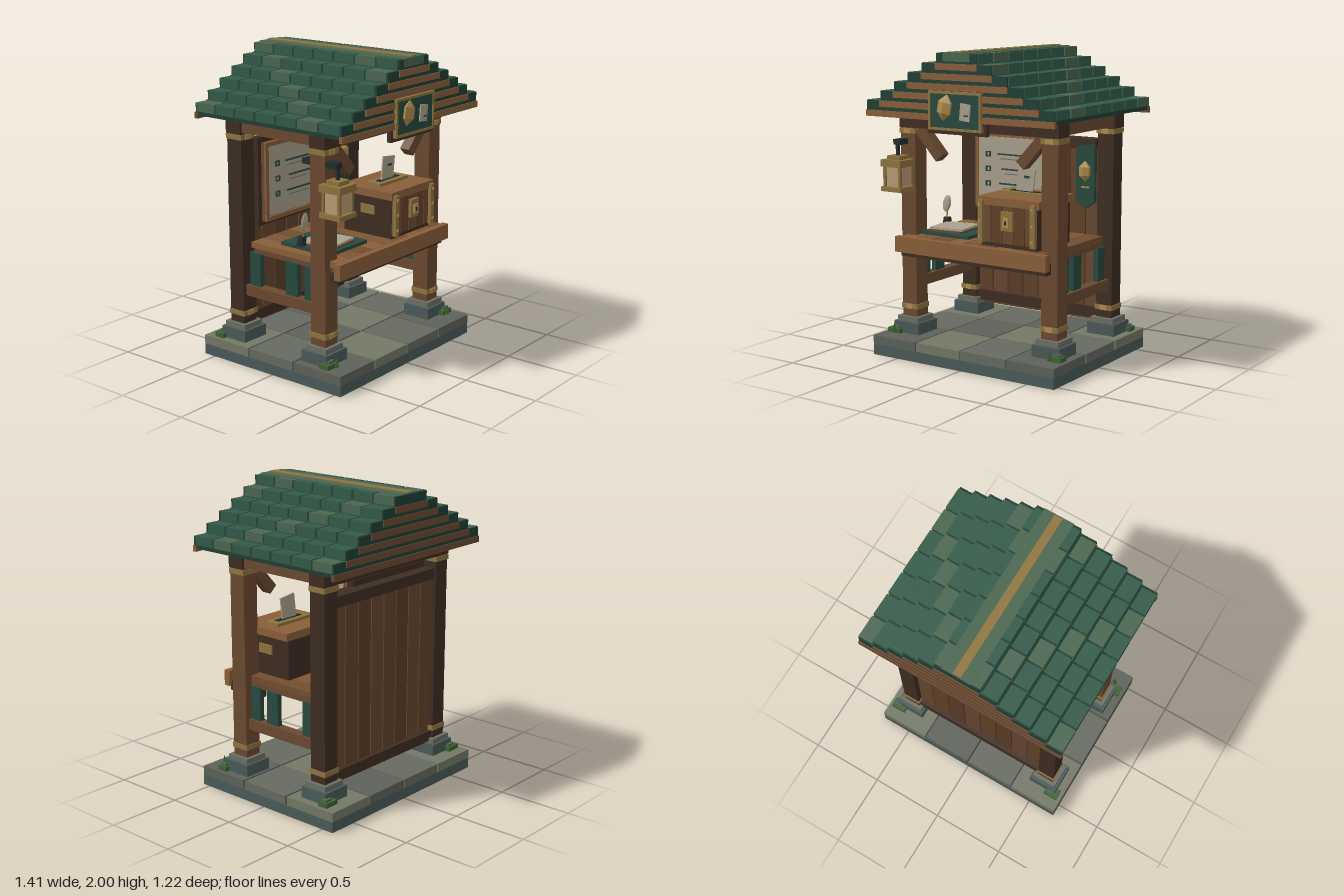
import * as THREE from 'three';

const C = {
  light: 0x8a5f3a, mid: 0x6a4930, plank: 0x604228, dark: 0x3f2d22, tile: 0x335a48, pale: 0x4a6650,
  deep: 0x1f3f35, teal: 0x28493f, stone: 0x6b6f64, slate: 0x4a5a58, brass: 0x8f7440, gold: 0xb08c4e,
  paper: 0xaaa08c, iron: 0x1f2c2e, glass: 0xb89b75, moss: 0x3f6232,
};
const mats = {};
const mat = (c) => (mats[c] ??= new THREE.MeshStandardMaterial({ color: c, flatShading: true }));

function add(parent, name, geo, color, x = 0, y = 0, z = 0) {
  const m = new THREE.Mesh(geo, mat(color));
  m.name = name;
  m.position.set(x, y, z);
  parent.add(m);
  return m;
}
// Box given by its extents on each axis
function box(parent, name, color, x0, x1, y0, y1, z0, z1) {
  const geo = new THREE.BoxGeometry(Math.abs(x1 - x0), Math.abs(y1 - y0), Math.abs(z1 - z0));
  return add(parent, name, geo, color, (x0 + x1) / 2, (y0 + y1) / 2, (z0 + z1) / 2);
}
function group(parent, name) {
  const g = new THREE.Group();
  g.name = name;
  parent.add(g);
  return g;
}
// Closed outline from a short list of points
const outline = (pts) => new THREE.Shape(pts.map((p) => new THREE.Vector2(...p)));
// Faceted shard: six-sided double cone flattened in z
function crystal(parent, x, y, z, w, h, depth, tilt) {
  const r = [[0, -h / 2], [w / 2, -h * 0.2], [w / 2, h * 0.2], [0, h / 2]].map((p) => new THREE.Vector2(...p));
  const m = add(parent, 'crystal', new THREE.LatheGeometry(r, 6), C.gold, x, y, z);
  m.scale.z = depth / w;
  m.rotation.z = tilt;
}
// Rectangular frame made of four bars
function frame(parent, name, color, x0, x1, y0, y1, z0, z1, t) {
  box(parent, name, color, x0, x1, y0, y0 + t, z0, z1);
  box(parent, name, color, x0, x1, y1 - t, y1, z0, z1);
  box(parent, name, color, x0, x0 + t, y0 + t, y1 - t, z0, z1);
  box(parent, name, color, x1 - t, x1, y0 + t, y1 - t, z0, z1);
}

function buildBase(root) {
  const g = group(root, 'stoneBase');
  box(g, 'slab', C.slate, -0.695, 0.695, 0, 0.07, -0.585, 0.55);
  const zs = [[0.18, 0.55], [-0.19, 0.165], [-0.585, -0.205]];
  for (let i = 0; i < 4; i++) zs.forEach(([a, b], j) => {
    const x = -0.695 + i * 0.35;
    box(g, 'pavingStone', [0x5d625a, 0x666a60, 0x747866][(i * 2 + j) % 3], x, x + 0.34, 0.07, 0.13, a, b);
  });
}

function buildPosts(root) {
  for (const sx of [-1, 1]) for (const z of [0.298, -0.378]) {
    const g = group(root, 'post');
    const x = sx * 0.54;
    const block = (n, c, r, y0, y1) => box(g, n, c, x - r, x + r, y0, y1, z - r, z + r);
    block('footing', C.slate, 0.1, 0.13, 0.205);
    block('footingCap', C.stone, 0.083, 0.205, 0.24);
    block('shaft', z > 0 ? C.mid : C.dark, 0.058, 0.24, 1.5);
    for (const y of [0.29, 1.453]) {
      block('brassBand', C.brass, 0.064, y, y + 0.033);
      box(g, 'bandPlate', C.gold, x - 0.027, x + 0.027, y, y + 0.03, z + 0.06, z + 0.07);
    }
    // Moss at the foot of each post
    const sz = Math.sign(z);
    const mx = sx * 0.62, mz = z + sz * 0.1;
    box(g, 'moss', C.moss, mx - 0.05, mx + 0.05, 0.13, 0.16, mz - 0.035, mz + 0.035);
    box(g, 'moss', C.pale, mx - 0.015, mx + 0.035, 0.16, 0.175, mz - 0.02, mz + 0.02);
    if (sz > 0) add(g, 'sprout', new THREE.ConeGeometry(0.018, 0.07, 4), C.moss, mx - sx * 0.02, 0.175, mz + 0.05);
  }
  // Top beams and hanging braces
  const b = group(root, 'topBeams');
  box(b, 'frontBeam', C.dark, -0.605, 0.605, 1.49, 1.575, 0.24, 0.36);
  box(b, 'backBeam', C.dark, -0.605, 0.605, 1.49, 1.575, -0.44, -0.32);
  for (const s of [-1, 1]) {
    box(b, 'sideBeam', C.mid, s * 0.49, s * 0.59, 1.5, 1.575, -0.32, 0.24);
    const br = add(b, 'brace', new THREE.BoxGeometry(0.07, 0.26, 0.07), C.mid, s * 0.395, 1.4, 0.3);
    br.rotation.z = -s * 0.74;
  }
}

function buildWall(root) {
  const g = group(root, 'backWall');
  for (let i = 0; i < 8; i++) {
    const x = (i - 3.5) * 0.123;
    box(g, 'wallPlank', [C.plank, 0x664630, 0x5a3d28][i % 3], x - 0.057, x + 0.057, 0.2, 1.39, -0.4, -0.365);
  }
  for (const y of [0.22, 1.34]) box(g, 'wallRail', C.dark, -0.49, 0.49, y, y + 0.07, -0.425, -0.34);

  // Notice board with checklist
  const n = group(root, 'noticeBoard');
  box(n, 'backing', C.dark, -0.47, 0.235, 0.87, 1.45, -0.345, -0.295);
  box(n, 'panel', C.mid, -0.44, 0.2, 0.9, 1.415, -0.295, -0.27);
  frame(n, 'boardFrame', C.light, -0.44, 0.2, 0.9, 1.415, -0.27, -0.255, 0.028);
  box(n, 'sheet', C.paper, -0.415, 0.157, 0.935, 1.385, -0.27, -0.258);
  [[-0.255, 0.055], [-0.22, 0.025], [-0.24, 0.035]].forEach(([a, b], i) => {
    const y = 1.267 - i * 0.1;
    frame(n, 'checkBox', C.teal, -0.35, -0.313, y - 0.018, y + 0.018, -0.26, -0.248, 0.007);
    box(n, 'ruledLine', C.teal, a, b, y - 0.001, y + 0.009, -0.26, -0.25);
    box(n, 'ruledLine', C.stone, a + 0.02, b - 0.06, y - 0.03, y - 0.024, -0.26, -0.254);
  });
  box(n, 'pin', C.brass, 0.12, 0.145, 1.35, 1.375, -0.26, -0.245);

  // Hanging banner
  const h = group(root, 'banner');
  const cloth = outline([[0.33, 1.36], [0.33, 1.0], [0.4, 0.95], [0.468, 1.0], [0.468, 1.38]]);
  add(h, 'cloth', new THREE.ExtrudeGeometry(cloth, { depth: 0.03, bevelEnabled: false }), C.teal, 0, 0, -0.335);
  box(h, 'bannerRod', C.dark, 0.24, 0.47, 1.35, 1.41, -0.345, -0.31);
  crystal(h, 0.4, 1.2, -0.3, 0.085, 0.14, 0.06, 0);
  box(h, 'bannerMark', C.gold, 0.37, 0.43, 1.09, 1.1, -0.31, -0.3);
}

function buildCounter(root) {
  const g = group(root, 'counter');
  for (let i = 0; i < 9; i++) {
    const x = -0.55 + i * 0.1222;
    box(g, 'topPlank', [C.light, 0x7d5534, 0x734d30][i % 3], x, x + 0.116, 0.75, 0.788, -0.29, 0.41);
  }
  box(g, 'underframe', C.mid, -0.545, 0.545, 0.715, 0.75, -0.27, 0.41);
  box(g, 'frontBoard', C.light, -0.58, 0.575, 0.685, 0.787, 0.41, 0.455);
  box(g, 'apron', C.dark, -0.555, 0.555, 0.655, 0.72, 0.36, 0.42);
  for (const s of [-1, 1]) {
    box(g, 'sideApron', C.dark, s * 0.5, s * 0.55, 0.655, 0.72, 0.155, 0.36);
    box(g, 'sideRail', C.mid, s * 0.505, s * 0.575, 0.43, 0.5, -0.32, 0.24);
    for (const [a, b] of [[0.155, 0.235], [0, 0.095], [-0.3, -0.212]])
      box(g, 'sideSlat', C.teal, s * 0.52, s * 0.555, 0.5, 0.72, a, b);
  }

  // Writing mat, papers and quill
  const w = group(root, 'writingSet');
  box(w, 'mat', C.teal, -0.48, -0.11, 0.788, 0.81, -0.1, 0.3);
  for (let i = 0; i < 2; i++) {
    const p = box(w, 'paperSheet', i ? C.paper : C.mid, -0.44, -0.2, 0.81 + i * 0.014, 0.824 + i * 0.014, 0.03, 0.27);
    p.rotation.y = 0.06 + i * 0.06;
  }
  add(w, 'inkwell', new THREE.CylinderGeometry(0.025, 0.035, 0.06, 8), C.iron, -0.455, 0.835, 0.05);
  add(w, 'quillStem', new THREE.CylinderGeometry(0.005, 0.005, 0.1, 5), C.brass, -0.45, 0.89, 0.06).rotation.z = -0.12;
  const f = add(w, 'quillFeather', new THREE.SphereGeometry(0.06, 8, 6), C.paper, -0.447, 0.96, 0.065);
  f.scale.set(0.55, 1, 0.2);
  f.rotation.z = -0.25;
}

function buildChest(root) {
  const g = group(root, 'chest');
  box(g, 'chestBody', C.dark, 0.048, 0.462, 0.788, 1.05, -0.01, 0.375);
  for (let i = 0; i < 5; i++) {
    const x = 0.05 + i * 0.083;
    box(g, 'chestPlank', i % 2 ? C.plank : C.mid, x, x + 0.078, 0.815, 1.05, 0.375, 0.388);
  }
  box(g, 'chestLid', C.light, 0.025, 0.485, 1.05, 1.1, -0.02, 0.392);
  for (const x of [0.045, 0.432]) {
    box(g, 'cornerStrap', C.brass, x, x + 0.034, 0.81, 1.08, 0.385, 0.412);
    for (const y of [0.85, 0.95, 1.05]) box(g, 'rivet', C.gold, x + 0.009, x + 0.025, y - 0.008, y + 0.008, 0.412, 0.42);
  }
  box(g, 'lockPlate', C.brass, 0.215, 0.3, 0.9, 1.02, 0.388, 0.408);
  box(g, 'lock', C.gold, 0.237, 0.278, 0.925, 0.985, 0.408, 0.42);
  box(g, 'keyhole', C.iron, 0.252, 0.263, 0.94, 0.965, 0.42, 0.423);
  for (const x of [0.04, 0.462]) box(g, 'sidePlate', C.brass, x, x + 0.01, 0.93, 0.99, 0.13, 0.24);
  // Slot plate on the lid with a letter standing in it
  box(g, 'slotPlate', C.brass, 0.105, 0.41, 1.1, 1.12, 0.13, 0.24);
  box(g, 'slot', C.iron, 0.15, 0.365, 1.12, 1.123, 0.165, 0.205);
  box(g, 'letter', C.paper, 0.195, 0.32, 1.11, 1.27, 0.18, 0.19).rotation.z = -0.12;
  box(g, 'letterSeal', C.teal, 0.25, 0.285, 1.205, 1.22, 0.185, 0.197);
}

function buildLantern(root) {
  const g = group(root, 'lantern');
  const x = -0.567, z = 0.428;
  const block = (n, c, r, y0, y1) => box(g, n, c, x - r, x + r, y0, y1, z - r, z + r);
  box(g, 'arm', C.iron, x - 0.028, x + 0.028, 1.383, 1.418, 0.175, 0.44);
  block('hanger', C.iron, 0.01, 1.3, 1.39);
  block('cap', C.brass, 0.05, 1.29, 1.315);
  block('roofPlate', C.brass, 0.08, 1.245, 1.29);
  block('glass', C.glass, 0.055, 1.115, 1.245);
  block('basePlate', C.brass, 0.08, 1.085, 1.115);
  for (const a of [-0.06, 0.06]) for (const b of [-0.06, 0.06])
    box(g, 'cornerBar', C.brass, x + a - 0.009, x + a + 0.009, 1.115, 1.245, z + b - 0.009, z + b + 0.009);
}

function buildRoof(root) {
  const g = group(root, 'roof');
  // Sloped deck beneath the shingles
  const deck = outline([[0.7, 1.595], [0.7, 1.622], [0.105, 1.96], [-0.105, 1.96], [-0.7, 1.622], [-0.7, 1.595], [-0.08, 1.935], [0.08, 1.935]]);
  add(g, 'deck', new THREE.ExtrudeGeometry(deck, { depth: 1.15, bevelEnabled: false }), C.deep, 0, 0, -0.59);
  for (let i = 0; i < 6; i++) {
    const w = 0.705 - 0.11 * i, y = 1.62 + 0.0625 * i, inner = w - 0.15;
    for (const s of [-1, 1]) {
      box(g, 'courseUnderlay', C.deep, s * inner, s * (w - 0.008), y, y + 0.048, -0.593, 0.56);
      for (let r = 0; r < 7; r++) {
        const z = -0.593 + r * 0.1655;
        box(g, 'shingle', (i + r) % 5 ? C.tile : C.pale, s * inner, s * w, y, y + 0.0575, z, z + 0.152);
      }
    }
    // Stepped gable boards, front and back
    for (const [z0, z1] of [[0.55, 0.576], [-0.61, -0.584]]) {
      box(g, 'gableBoard', z0 > 0 ? C.light : C.mid, -w, w, y - 0.045, y - 0.005, z0, z1);
      box(g, 'gableFill', C.deep, -w + 0.004, w - 0.004, y - 0.005, y + 0.055, z0 + 0.008, z1 - 0.008);
    }
  }
  box(g, 'ridgeCap', C.pale, -0.1, 0.1, 1.94, 1.994, -0.6, 0.57);
  box(g, 'ridgeStrip', C.brass, -0.028, 0.028, 1.994, 2, -0.595, 0.56);

  // Gable sign
  const s = group(root, 'sign');
  box(s, 'signBacking', C.dark, -0.22, 0.22, 1.495, 1.575, 0.53, 0.562);
  box(s, 'signPanel', C.teal, -0.19, 0.185, 1.53, 1.75, 0.56, 0.582);
  frame(s, 'signFrame', C.brass, -0.2, 0.195, 1.52, 1.76, 0.56, 0.588, 0.016);
  crystal(s, -0.075, 1.66, 0.58, 0.11, 0.17, 0.06, -0.2);
  box(s, 'signNote', C.paper, 0.042, 0.115, 1.585, 1.69, 0.582, 0.592).rotation.z = -0.1;
  box(s, 'signNoteMark', C.teal, 0.075, 0.105, 1.613, 1.623, 0.59, 0.597);
}

export function createModel() {
  const root = new THREE.Group();
  root.name = 'marketStall';
  [buildBase, buildPosts, buildWall, buildCounter, buildChest, buildLantern, buildRoof].forEach((build) => build(root));
  return root;
}
